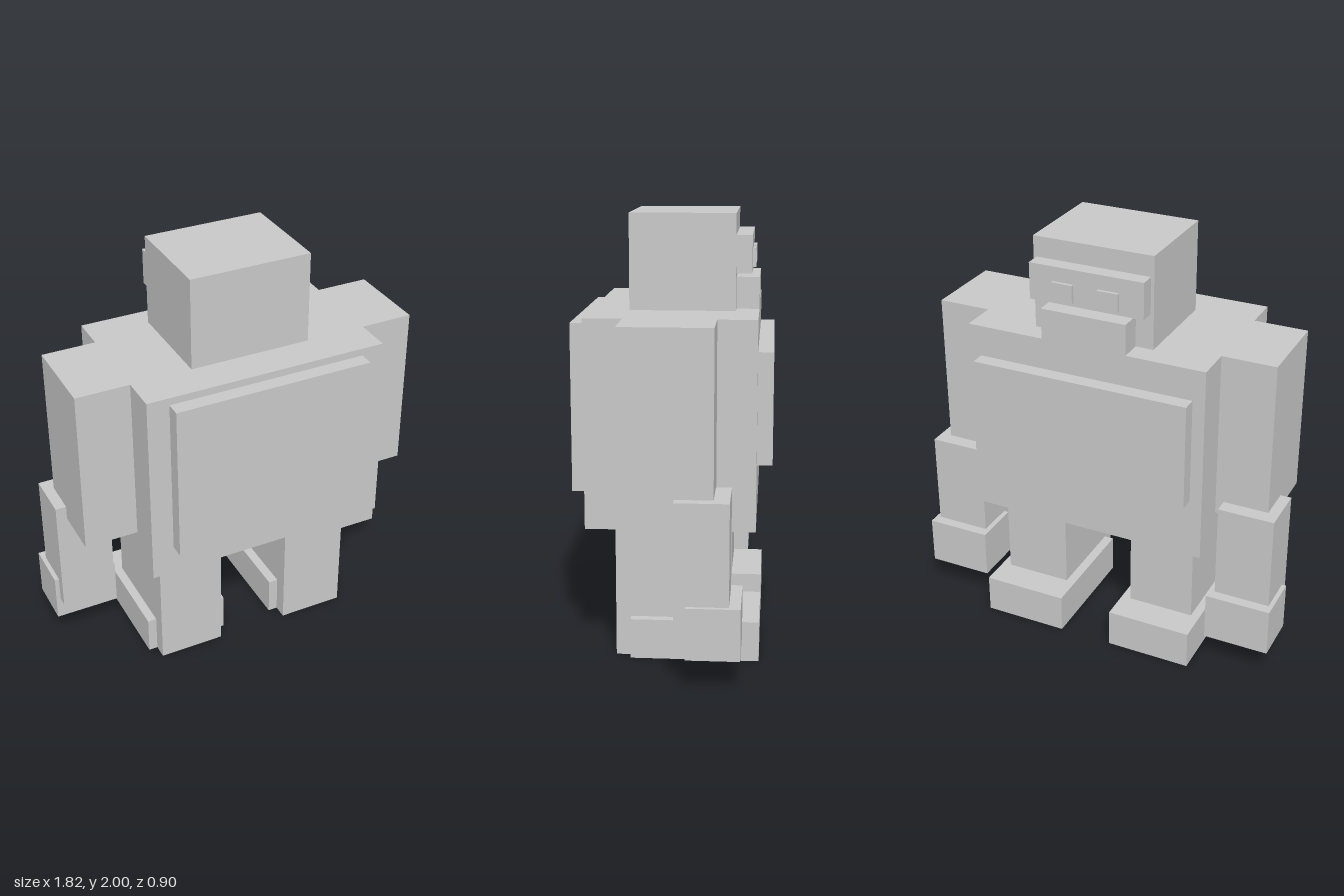
import * as THREE from 'three';

const grey = new THREE.MeshStandardMaterial({ color: 0xc8c8c8 });
grey.name = 'lightGrey';

// Box given by its extents along each axis
function block(name, [x0, x1], [y0, y1], [z0, z1]) {
  const mesh = new THREE.Mesh(new THREE.BoxGeometry(x1 - x0, y1 - y0, z1 - z0), grey);
  mesh.position.set((x0 + x1) / 2, (y0 + y1) / 2, (z0 + z1) / 2);
  mesh.name = name;
  return mesh;
}

// Block symmetric about x = 0
const centred = (name, halfWidth, y, z) => block(name, [-halfWidth, halfWidth], y, z);

// Block on one side of the body; side is +1 (left) or -1 (right)
const sided = (name, side, [a, b], y, z) =>
  block(name, side > 0 ? [a, b] : [-b, -a], y, z);

function group(name, ...parts) {
  const g = new THREE.Group();
  g.name = name;
  g.add(...parts);
  return g;
}

export function createModel() {
  // Head with brow and jaw on the face side
  const head = group('headGroup',
    centred('head', 0.29, [1.565, 2], [-0.275, 0.205]),
    centred('brow', 0.275, [1.732, 1.903], [-0.347, -0.273]),
    centred('jaw', 0.205, [1.56, 1.71], [-0.38, -0.273]));

  // Torso with a raised plate on each broad face
  const body = group('body',
    centred('torso', 0.58, [0.622, 1.565], [-0.38, 0.38]),
    centred('chestPlate', 0.522, [0.912, 1.417], [-0.45, -0.375]),
    centred('backPlate', 0.475, [0.767, 1.53], [0.375, 0.45]));

  const model = group('blockFigure', body, head);

  for (const side of [1, -1]) {
    const label = side > 0 ? 'left' : 'right';
    head.add(sided(label + 'Eye', side, [0.06, 0.16], [1.75, 1.835], [-0.362, -0.345]));

    // Arm: wide upper part, forward-set forearm, fist
    model.add(group(label + 'Arm',
      sided('upperArm', side, [0.575, 0.835], [0.767, 1.565], [-0.205, 0.205]),
      sided('forearm', side, [0.62, 0.887], [0.257, 0.835], [-0.275, -0.038]),
      sided('fist', side, [0.595, 0.908], [0.147, 0.38], [-0.325, -0.088])));

    // Leg with a foot reaching forward
    model.add(group(label + 'Leg',
      sided('leg', side, [0.176, 0.496], [0, 0.63], [-0.253, 0.253]),
      sided('foot', side, [0.13, 0.539], [0, 0.186], [-0.4, 0.184])));
  }
  return model;
}
